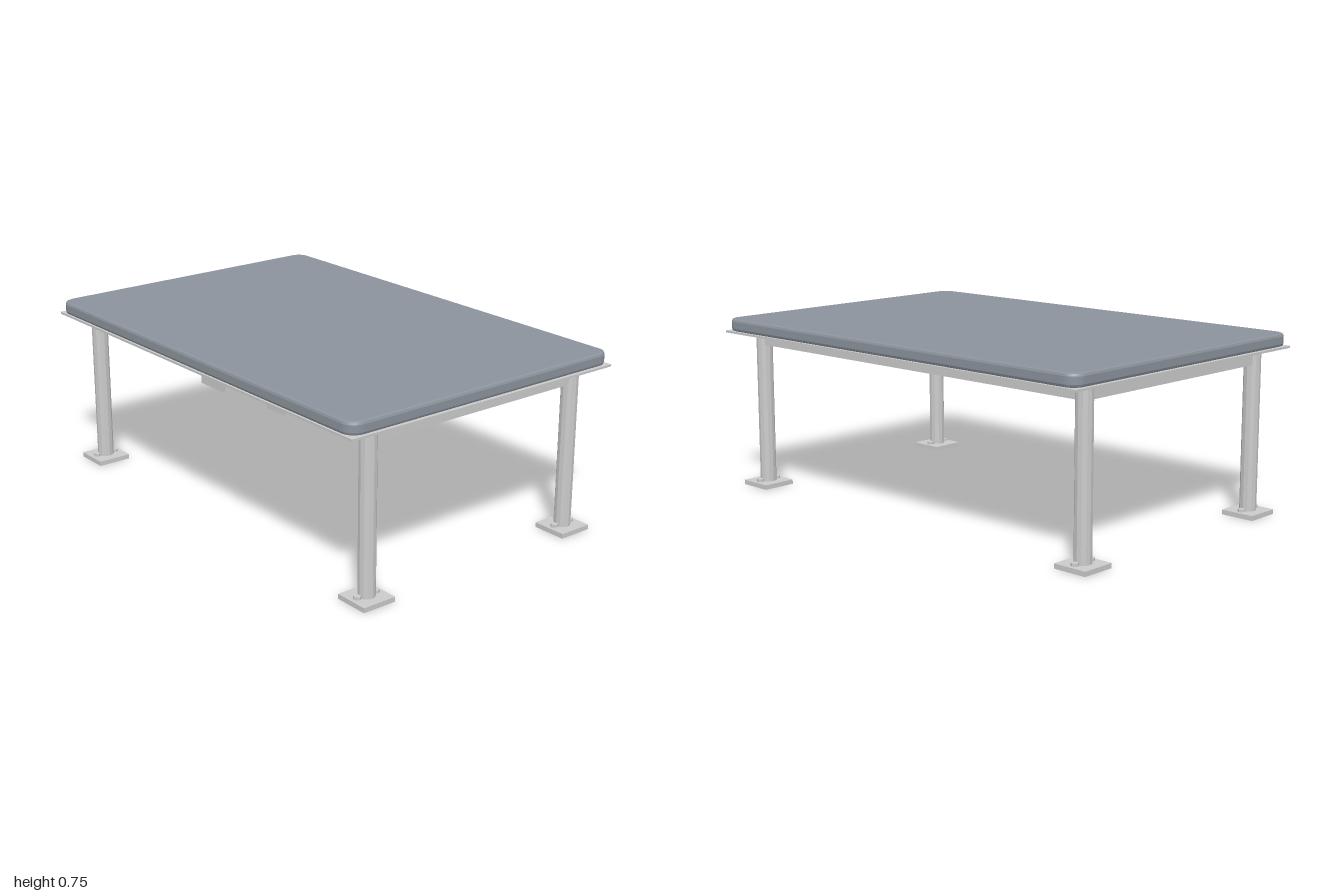
import * as THREE from 'three';

const grey = new THREE.MeshStandardMaterial({ color: 0xcccccc, flatShading: true });
const coloured = (color) => new THREE.MeshStandardMaterial({ color, flatShading: true });

function add(parent, name, geometry, x, y, z, material = grey) {
  const mesh = new THREE.Mesh(geometry, material);
  mesh.name = name;
  mesh.position.set(x, y, z);
  parent.add(mesh);
  return mesh;
}
const box = (w, h, d) => new THREE.BoxGeometry(w, h, d);

// Rounded, bevelled slab lying flat, with its underside at y = 0
function slabGeometry(w, d, h, radius, bevel) {
  const x = w / 2 - bevel, z = d / 2 - bevel, r = radius - bevel;
  const shape = new THREE.Shape();
  shape.absarc(x - r, z - r, r, 0, Math.PI / 2);
  shape.absarc(-x + r, z - r, r, Math.PI / 2, Math.PI);
  shape.absarc(-x + r, -z + r, r, Math.PI, Math.PI * 1.5);
  shape.absarc(x - r, -z + r, r, Math.PI * 1.5, Math.PI * 2);
  const geometry = new THREE.ExtrudeGeometry(shape, {
    depth: h - 2 * bevel, bevelEnabled: true, bevelSize: bevel,
    bevelThickness: bevel, bevelSegments: 2, curveSegments: 6,
  });
  geometry.translate(0, 0, bevel);
  geometry.rotateX(-Math.PI / 2);
  return geometry;
}

// Leg standing on a square foot with two bolts
function makeLeg() {
  const leg = new THREE.Group();
  leg.name = 'leg';
  add(leg, 'legPost', new THREE.CylinderGeometry(0.035, 0.035, 0.67, 12), 0, 0.353, 0);
  add(leg, 'foot', box(0.15, 0.02, 0.15), 0, 0.01, 0);
  for (const s of [-1, 1])
    add(leg, 'footBolt', new THREE.CylinderGeometry(0.015, 0.015, 0.012, 8), 0, 0.026, s * 0.045);
  return leg;
}

export function createModel() {
  const table = new THREE.Group();
  table.name = 'table';
  const legX = 0.917, legZ = 0.521;

  // Top and the thin sheet beneath it
  add(table, 'tabletop', slabGeometry(1.99, 1.33, 0.054, 0.06, 0.012), 0, 0.696, 0, coloured(0x8b939c));
  add(table, 'underSheet', box(2, 0.009, 1.33), 0, 0.6915, 0);

  // Legs and apron frame
  for (const sx of [-1, 1]) {
    for (const sz of [-1, 1]) {
      const leg = makeLeg();
      leg.position.set(sx * legX, 0, sz * legZ);
      table.add(leg);
    }
    add(table, 'sideRail', box(0.04, 0.058, 2 * legZ), sx * legX, 0.659, 0);
    add(table, sx > 0 ? 'frontRail' : 'backRail', box(2 * legX, 0.058, 0.04), 0, 0.659, sx * legZ);
  }

  // Control box, its button and the light strip on the front rail
  add(table, 'controlBox', box(0.165, 0.098, 0.05), 0, 0.639, 0.529);
  add(table, 'controlButton', box(0.064, 0.05, 0.008), 0, 0.655, 0.557, coloured(0xe0b060));
  add(table, 'lightStrip', box(0.667, 0.013, 0.006), 0, 0.654, 0.543, coloured(0xc080e8));
  return table;
}
